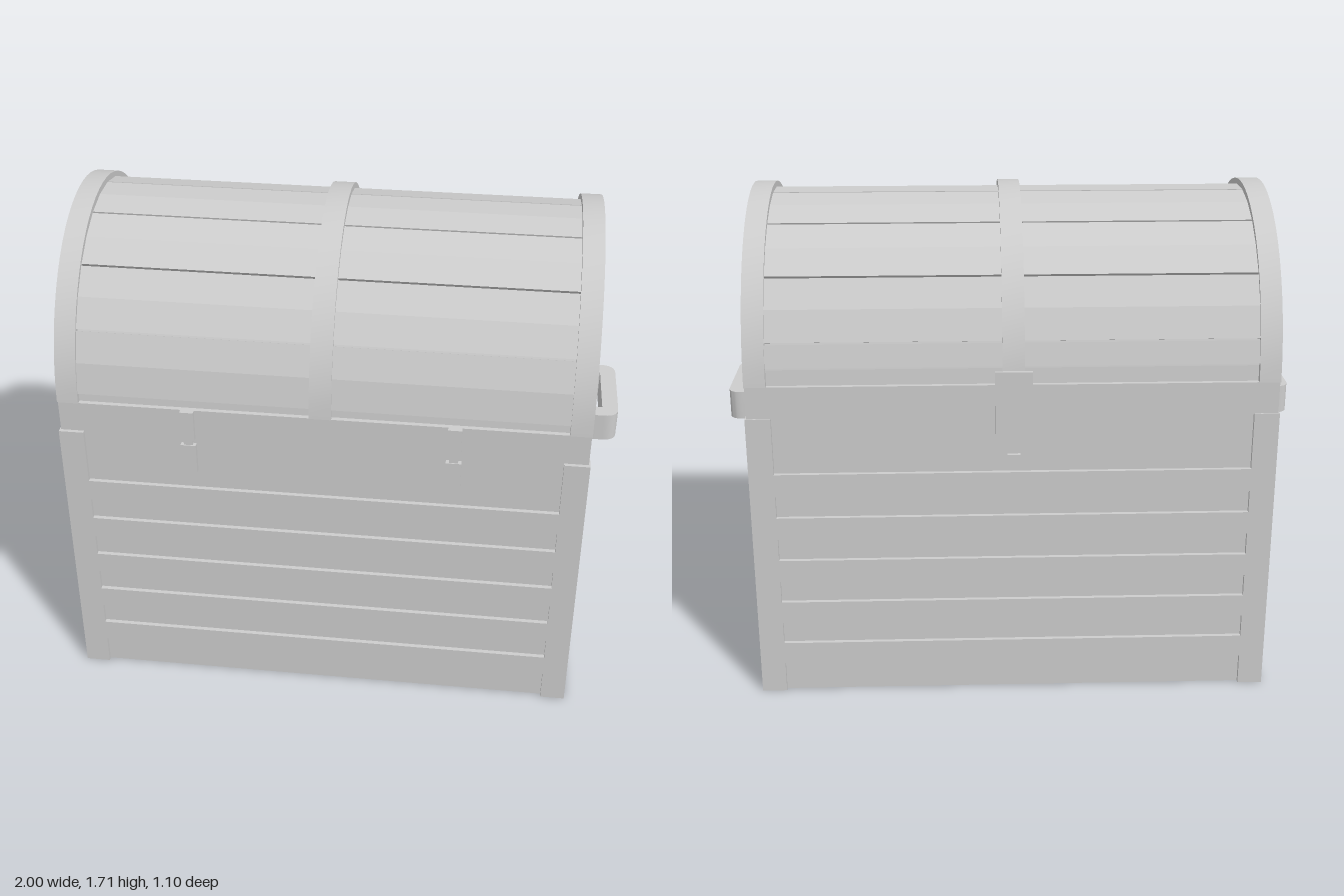
import * as THREE from 'three';
import { toCreasedNormals } from 'three/addons/utils/BufferGeometryUtils.js';

const CZ = 0.0085; // centre of the arch in z
const CY = 1.115; // centre height of the arch
const LID_Y = 1.14; // where the arch meets the lid base

export function createModel() {
  const chest = new THREE.Group();
  chest.name = 'chest';
  const grey = new THREE.MeshStandardMaterial({ color: 0xcccccc });
  grey.name = 'plain grey';

  const add = (name, geometry) => {
    const mesh = new THREE.Mesh(geometry, grey);
    mesh.name = name;
    chest.add(mesh);
    return mesh;
  };
  // Box given by its limits
  const box = (name, x0, x1, y0, y1, z0, z1) => {
    const g = new THREE.BoxGeometry(x1 - x0, y1 - y0, z1 - z0);
    g.translate((x0 + x1) / 2, (y0 + y1) / 2, (z0 + z1) / 2);
    return add(name, g);
  };
  const shapeOf = (pts) => new THREE.Shape(pts.map(([a, b]) => new THREE.Vector2(a, b)));
  const rect = (a0, a1, b0, b1) => [[a0, b0], [a1, b0], [a1, b1], [a0, b1]];
  // Extrude a (z, y) profile along x, from x0 to x1
  const alongX = (name, shape, x0, x1, smooth = false) => {
    let g = new THREE.ExtrudeGeometry(shape, { depth: x1 - x0, bevelEnabled: false, curveSegments: 8 });
    g.rotateY(-Math.PI / 2);
    g.translate(x1, 0, 0);
    if (smooth) g = toCreasedNormals(g, 0.5);
    return add(name, g);
  };
  const arcPoint = (a, b, angle) => [CZ + a * Math.cos(angle), CY + b * Math.sin(angle)];
  // Half-ellipse outline with straight feet at height foot
  const arch = (a, b, foot, n = 32) => {
    const start = Math.asin((foot - CY) / b);
    const pts = [];
    for (let i = 0; i <= n; i++) pts.push(arcPoint(a, b, start + (Math.PI - 2 * start) * i / n));
    return pts;
  };

  // Body core and bottom rim
  box('bodyCore', -0.87, 0.87, 0.012, 1.03, -0.505, 0.53);
  box('frontRim', -0.87, 0.87, 0, 0.012, 0.505, 0.53);
  box('backRim', -0.87, 0.87, 0, 0.012, -0.505, -0.48);

  // Raised planks on all four walls
  for (let i = 0; i < 5; i++) {
    const y0 = 0.11 + i * 0.16, y1 = y0 + 0.08;
    box('frontPlank', -0.805, 0.805, y0, y1, 0.53, 0.545);
    box('backPlank', -0.805, 0.805, y0, y1, -0.52, -0.505);
    const low = Math.max(y0, 0.145);
    box('leftPlank', 0.87, 0.882, low, y1, -0.47, 0.495);
    box('rightPlank', -0.882, -0.87, low, y1, -0.47, 0.495);
  }

  // Side frames and corner posts
  for (const s of [-1, 1]) {
    const frame = shapeOf(rect(-0.505, 0.53, 0, 1.03));
    frame.holes.push(new THREE.Path(shapeOf(rect(-0.47, 0.495, 0.145, 1.0)).getPoints()));
    alongX('sideFrame', frame, s > 0 ? 0.87 : -0.89, s > 0 ? 0.89 : -0.87);
    const [x0, x1] = s > 0 ? [0.805, 0.89] : [-0.89, -0.805];
    box('frontPost', x0, x1, 0, 1.03, 0.53, 0.545);
    box('backPost', x0, x1, 0, 1.03, -0.52, -0.505);
  }

  // Lid base and the core under the planks
  box('lidBase', -0.885, 0.885, 1.03, LID_Y, -0.515, 0.532);
  alongX('lidCore', shapeOf(arch(0.508, 0.557, LID_Y)), -0.84, 0.84);

  // Lid planks: two flat facets each, with narrow gaps between
  const step = Math.PI / 16, gap = 0.006;
  const lidPlank = (angles) => {
    const outer = angles.map((t) => arcPoint(0.523, 0.575, t));
    const inner = angles.map((t) => arcPoint(0.495, 0.545, t)).reverse();
    alongX('lidPlank', shapeOf([...outer, ...inner]), -0.83, 0.83);
  };
  for (let i = 0; i < 8; i++) {
    const t = step * (0.5 + 2 * i);
    if (i < 7) lidPlank([t + gap, t + step, t + 2 * step - gap]);
    else lidPlank([t + gap, t + step - 0.055]);
  }

  // End and middle bands
  const band = (name, x0, x1) => {
    const shape = shapeOf(arch(0.527, 0.595, LID_Y));
    // An open-footed ring: outer arc, then the inner arc back again
    const ring = [...arch(0.527, 0.595, LID_Y), ...arch(0.49, 0.555, LID_Y).reverse()];
    shape.setFromPoints(ring.map(([a, b]) => new THREE.Vector2(a, b)));
    alongX(name, shape, x0, x1, true);
  };
  band('rightBand', -0.887, -0.815);
  band('middleBand', -0.037, 0.037);
  band('leftBand', 0.815, 0.887);
  alongX('rightLidPanel', shapeOf(arch(0.492, 0.557, LID_Y)), -0.872, -0.835);
  alongX('leftLidPanel', shapeOf(arch(0.492, 0.557, LID_Y)), 0.835, 0.872);

  // Front hinges
  for (const x of [-0.445, 0.445]) {
    box('hingeUpper', x - 0.023, x + 0.023, 1.03, LID_Y, 0.53, 0.549);
    box('hingePin', x - 0.015, x + 0.015, 1.005, 1.03, 0.53, 0.545);
    box('hingeLower', x - 0.026, x + 0.026, 0.9, 1.01, 0.53, 0.549);
  }

  // Back latch: slotted plate, mount and staple
  const plate = shapeOf(rect(-0.062, 0.062, 0.865, 1.195));
  plate.holes.push(new THREE.Path(shapeOf(rect(-0.022, 0.022, 0.905, 1.005)).getPoints()));
  const plateGeometry = new THREE.ExtrudeGeometry(plate, { depth: 0.014, bevelEnabled: false });
  plateGeometry.translate(0, 0, -0.549);
  add('latchPlate', plateGeometry);
  box('latchMount', -0.04, 0.04, 1.13, 1.18, -0.537, -0.5);
  box('latchStaple', -0.014, 0.014, 0.9, 1.005, -0.537, -0.505);

  // Side handles: rounded bracket drawn from above
  const bracket = new THREE.Shape();
  const h = 0.172, w = 0.055, r = 0.05;
  bracket.moveTo(0.87, -h);
  bracket.lineTo(1 - r, -h);
  bracket.quadraticCurveTo(1, -h, 1, -h + r);
  bracket.lineTo(1, h - r);
  bracket.quadraticCurveTo(1, h, 1 - r, h);
  bracket.lineTo(0.87, h);
  bracket.lineTo(0.87, h - w);
  bracket.lineTo(1 - w, h - w);
  bracket.lineTo(1 - w, -h + w);
  bracket.lineTo(0.87, -h + w);
  for (const s of [-1, 1]) {
    let g = new THREE.ExtrudeGeometry(bracket, { depth: 0.1, bevelEnabled: false, curveSegments: 8 });
    g.rotateX(-Math.PI / 2);
    if (s < 0) g.rotateY(Math.PI);
    g.translate(0, 0.9, 0.008);
    g = toCreasedNormals(g, 0.5);
    add(s > 0 ? 'leftHandle' : 'rightHandle', g);
  }

  return chest;
}
